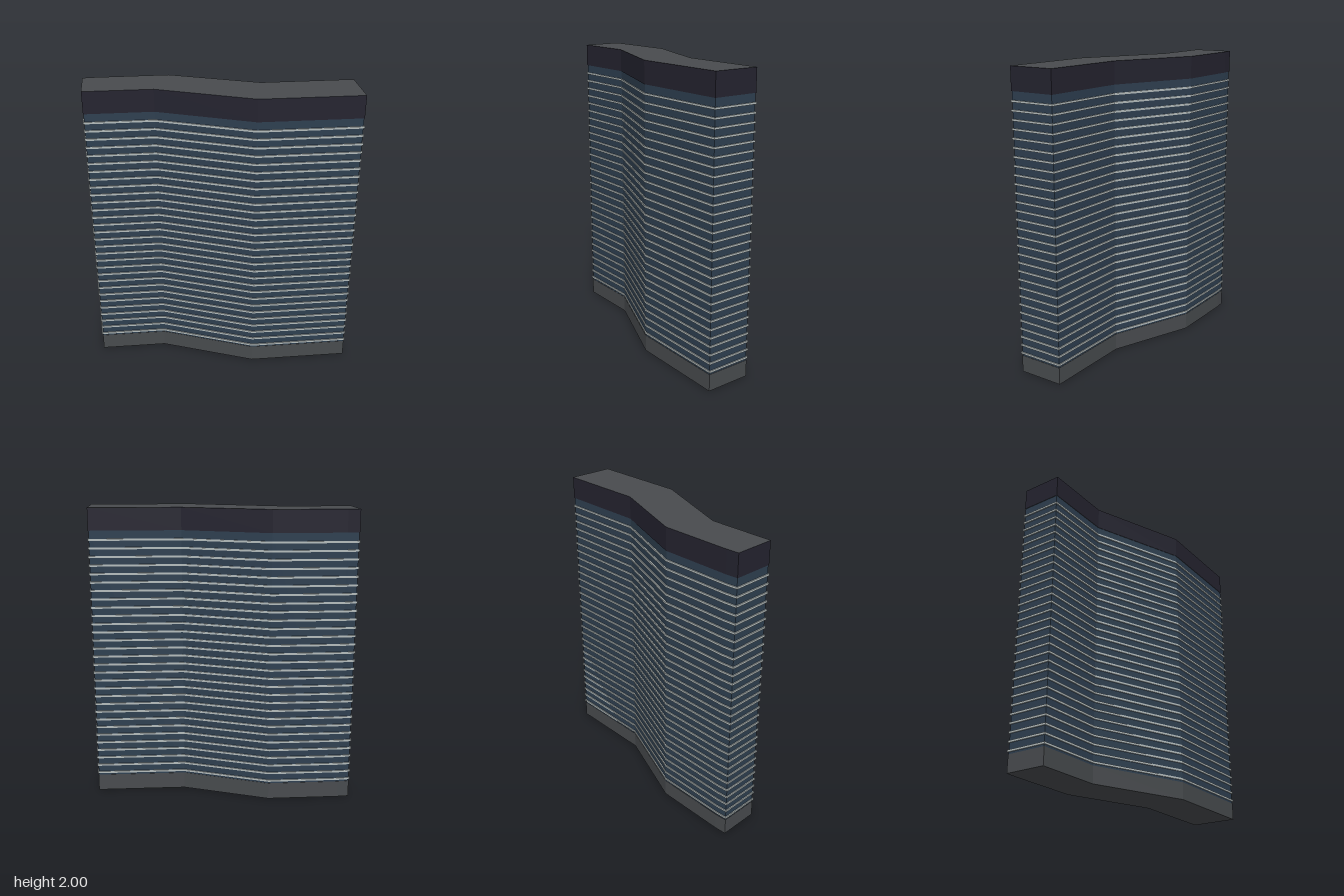
import * as THREE from 'three';

const mat = (name, color) => {
  const m = new THREE.MeshStandardMaterial({ color });
  m.name = name;
  return m;
};

// Footprint as [x, z], going round from the back left corner
const FOOTPRINT = [
  [-0.88, -0.264], [-0.8, -0.27], [-0.315, -0.27], [0.265, -0.047], [0.877, -0.045],
  [0.877, 0.266], [0.202, 0.262], [-0.425, 0.007], [-0.876, 0.005],
].map(([x, z]) => new THREE.Vector2(x, -z));

// Footprint moved outwards by d, with mitred corners
function outline(d) {
  const n = FOOTPRINT.length;
  const normal = (a, b) => new THREE.Vector2(a.y - b.y, b.x - a.x).normalize();
  return FOOTPRINT.map((p, i) => {
    const n1 = normal(FOOTPRINT[(i + n - 1) % n], p);
    const n2 = normal(p, FOOTPRINT[(i + 1) % n]);
    const miter = n1.clone().add(n2).multiplyScalar(d / (1 + n1.dot(n2)));
    return p.clone().add(miter);
  });
}

// Upright prism of the footprint between two heights
function storey(name, y0, y1, offset, material) {
  const geo = new THREE.ExtrudeGeometry(new THREE.Shape(outline(offset)), {
    depth: y1 - y0, bevelEnabled: false,
  });
  geo.rotateX(-Math.PI / 2);
  const mesh = new THREE.Mesh(geo, material);
  mesh.position.y = y0;
  mesh.name = name;
  return mesh;
}

export function createModel() {
  const concrete = mat('concrete grey', 0x484b4e);
  const glass = mat('blue glass', 0x2e3f50);
  const ledge = mat('pale ledge', 0xb4bcbc);
  const crown = mat('dark crown', 0x24232f);

  const tower = new THREE.Group();
  tower.name = 'tower';
  tower.add(storey('base', 0, 0.115, 0.002, concrete));
  tower.add(storey('glassBody', 0.115, 1.85, 0, glass));
  // Grey roof surface with dark parapet sides
  tower.add(storey('crown', 1.85, 2, 0.003, [concrete, crown]));

  // Thin ledge at each floor
  const ledges = new THREE.Group();
  ledges.name = 'floorLedges';
  const floors = 30;
  for (let i = 0; i < floors; i++) {
    const y = 0.135 + (i * (1.79 - 0.135)) / (floors - 1);
    ledges.add(storey('floorLedge', y - 0.0065, y + 0.0065, 0.007, ledge));
  }
  tower.add(ledges);
  return tower;
}
